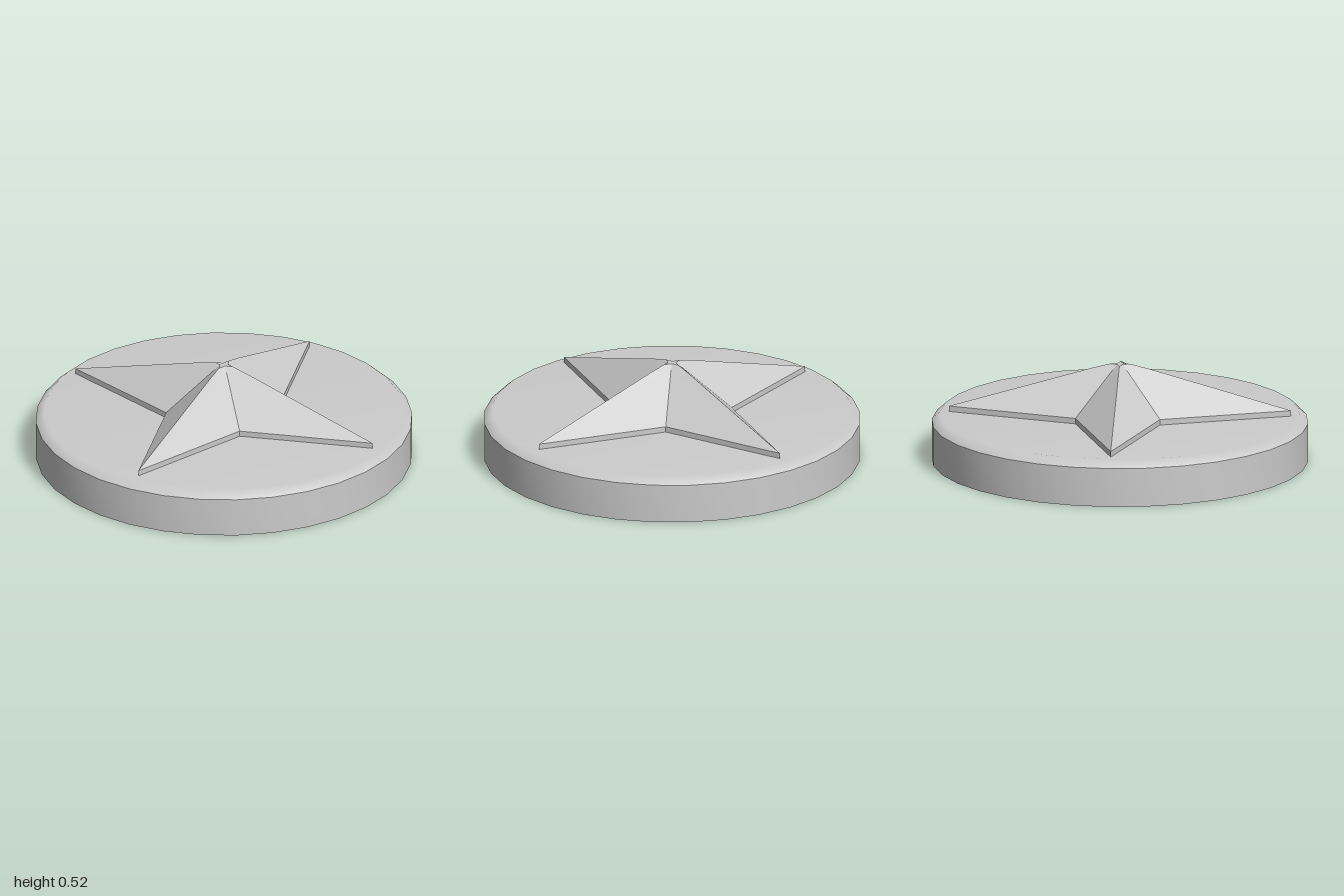
import * as THREE from 'three';
import { mergeVertices } from 'three/addons/utils/BufferGeometryUtils.js';

const SIDES = 32;
const material = new THREE.MeshStandardMaterial({ color: 0xcccccc });

// Lathe a profile of [radius, y] pairs, with area-weighted smooth normals
function turned(name, profile) {
  let geo = new THREE.LatheGeometry(profile.map(([r, y]) => new THREE.Vector2(r, y)), SIDES);
  geo.deleteAttribute('uv');
  geo.deleteAttribute('normal');
  geo = mergeVertices(geo);
  geo.computeVertexNormals();
  const mesh = new THREE.Mesh(geo, material);
  mesh.name = name;
  return mesh;
}

// Four-pointed star built from stacked rings of [tip radius, valley radius, y]
function starGeometry(rings) {
  const count = 8;
  const pos = [];
  const corner = ([tip, valley, y], i) => {
    const a = (i / count) * Math.PI * 2;
    const r = i % 2 ? valley : tip;
    return [r * Math.cos(a), y, r * Math.sin(a)];
  };
  for (let k = 0; k < rings.length - 1; k++) {
    for (let i = 0; i < count; i++) {
      const a = corner(rings[k], i);
      const b = corner(rings[k], i + 1);
      const c = corner(rings[k + 1], i + 1);
      const d = corner(rings[k + 1], i);
      // Split every facet along the same diagonal on both sides of a ridge
      if (i % 2) pos.push(...a, ...d, ...b, ...b, ...d, ...c);
      else pos.push(...a, ...d, ...c, ...a, ...c, ...b);
    }
  }
  // Small flat cap at the peak
  const top = rings[rings.length - 1];
  for (let i = 0; i < count; i++) {
    pos.push(...corner(top, i), 0, top[2], 0, ...corner(top, i + 1));
  }
  const geo = new THREE.BufferGeometry();
  geo.setAttribute('position', new THREE.Float32BufferAttribute(pos, 3));
  geo.computeVertexNormals();
  return geo;
}

export function createModel() {
  const model = new THREE.Group();
  model.name = 'starMedallion';

  // Round base: underside, wall, and bevelled top
  const base = new THREE.Group();
  base.name = 'base';
  base.add(
    turned('underside', [[0, 0], [1, 0]]),
    turned('wall', [[1, 0], [1, 0.21]]),
    turned('bevelledTop', [[1, 0.21], [0.955, 0.25], [0, 0.25]])
  );

  // Raised star with a thin upright edge and a blunted peak
  const star = new THREE.Mesh(starGeometry([
    [0.91, 0.318, 0.25],
    [0.91, 0.318, 0.28],
    [0.15, 0.052, 0.5],
    [0.055, 0.02, 0.524],
  ]), material);
  star.name = 'star';

  model.add(base, star);
  return model;
}
